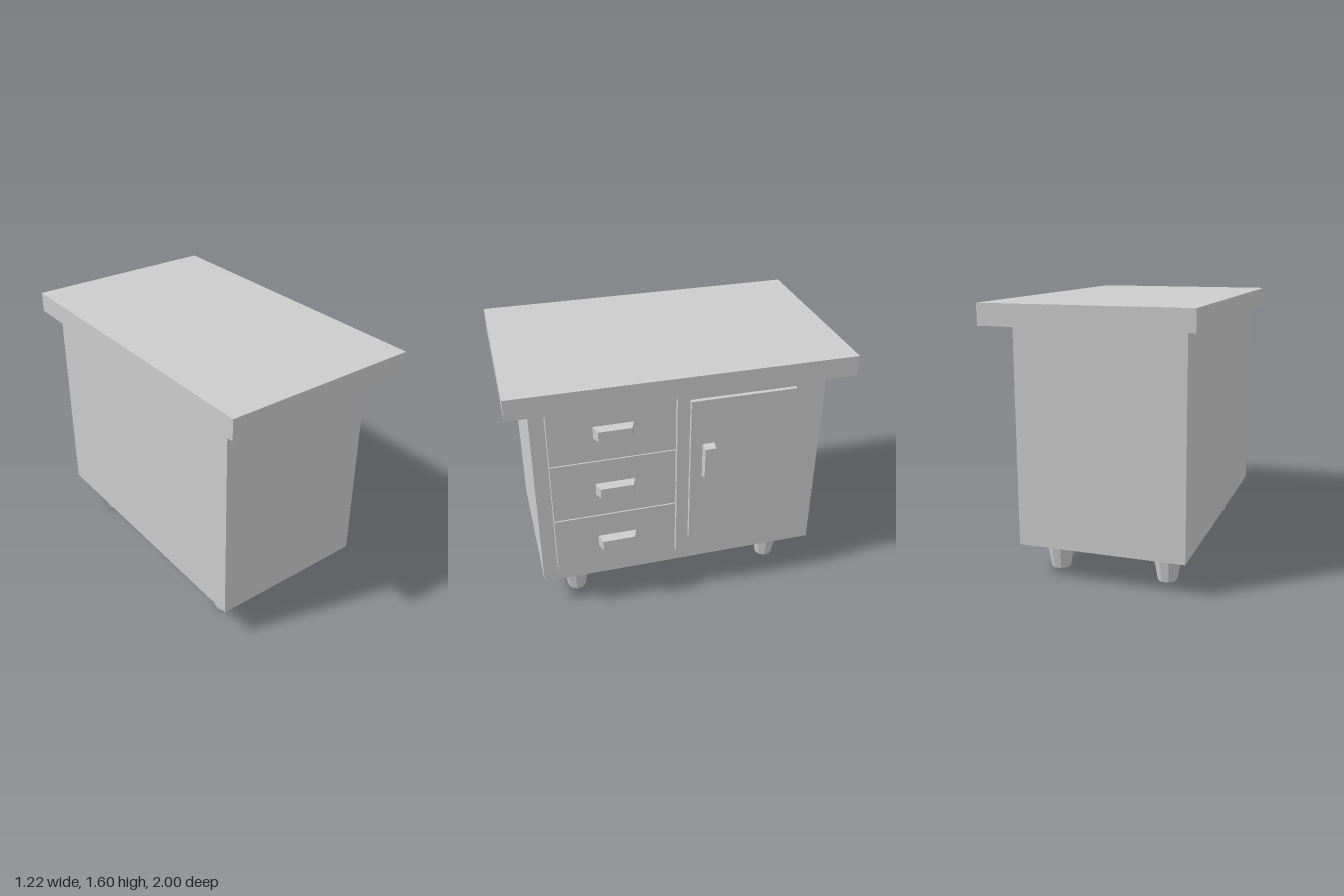
import * as THREE from 'three';

const material = new THREE.MeshStandardMaterial({ color: 0xcccccc, flatShading: true });

// Box given by its limits on each axis; the +x face may be inset to taper it
function block(name, [x0, x1], [y0, y1], [z0, z1], insetY = 0, insetZ = 0) {
  const w = x1 - x0, h = y1 - y0, d = z1 - z0;
  const geometry = new THREE.BoxGeometry(w, h, d);
  const p = geometry.attributes.position;
  for (let i = 0; i < p.count; i++) {
    if (p.getX(i) > 0) {
      p.setY(i, p.getY(i) - Math.sign(p.getY(i)) * insetY);
      p.setZ(i, p.getZ(i) - Math.sign(p.getZ(i)) * insetZ);
    }
  }
  geometry.computeVertexNormals();
  const mesh = new THREE.Mesh(geometry, material);
  mesh.name = name;
  mesh.position.set((x0 + x1) / 2, (y0 + y1) / 2, (z0 + z1) / 2);
  return mesh;
}

export function createModel() {
  const desk = new THREE.Group();
  desk.name = 'cabinet';

  // Carcass and overhanging top
  desk.add(block('body', [-0.54, 0.455], [0.2, 1.48], [-0.89, 0.87]));
  desk.add(block('top', [-0.61, 0.61], [1.476, 1.6], [-1, 1]));

  // Three stacked drawers with tapered pulls
  [0.32, 0.706, 1.091].forEach((y, i) => {
    const drawer = new THREE.Group();
    drawer.name = `drawer${i + 1}`;
    const mid = y + 0.189;
    drawer.add(block('drawerFront', [0.46, 0.52], [y, y + 0.379], [0.048, 0.783]));
    drawer.add(block('drawerHandle', [0.518, 0.576], [mid - 0.038, mid + 0.038], [0.293, 0.527], 0.007, 0.02));
    desk.add(drawer);
  });

  // Door with raised panel and upright pull
  const door = new THREE.Group();
  door.name = 'door';
  door.add(block('doorFront', [0.45, 0.529], [0.337, 1.476], [-0.748, 0.046], 0.004, 0.004));
  door.add(block('doorPanel', [0.525, 0.555], [0.45, 1.412], [-0.664, -0.032]));
  door.add(block('doorHandle', [0.553, 0.6], [0.902, 1.124], [-0.175, -0.103], 0.014, 0.004));
  desk.add(door);

  // Tapered, faceted legs
  const legGeometry = new THREE.CylinderGeometry(0.093, 0.058, 0.2, 9);
  for (const x of [-0.373, 0.299]) {
    for (const z of [-0.655, 0.65]) {
      const leg = new THREE.Mesh(legGeometry, material);
      leg.name = 'leg';
      leg.position.set(x, 0.1, z);
      desk.add(leg);
    }
  }
  return desk;
}
